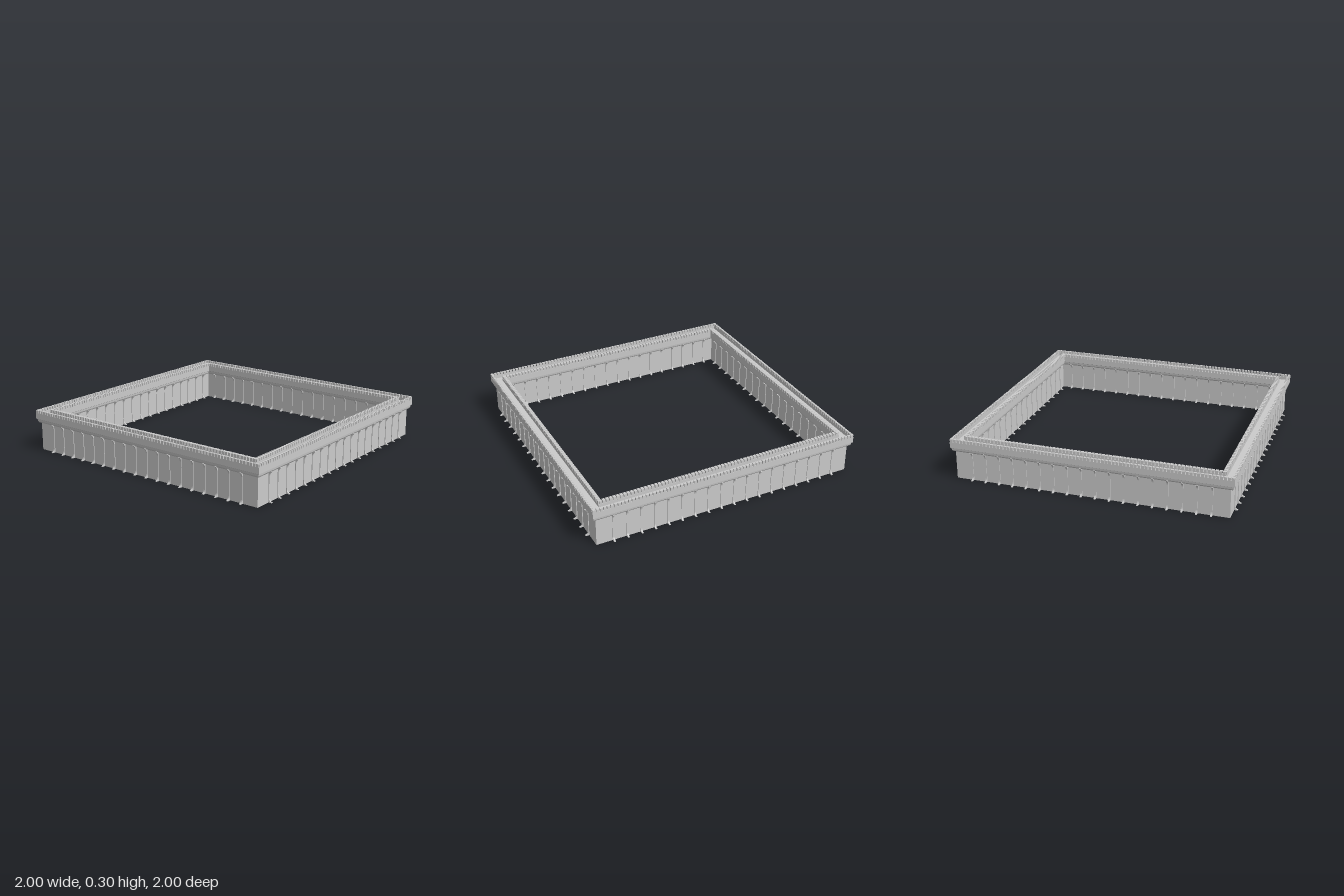
import * as THREE from 'three';
import { mergeGeometries } from 'three/addons/utils/BufferGeometryUtils.js';

const MID = 0.951; // centre line of the wall, measured from the middle of the square

// Sweep a closed profile of [distance, height] points around the square.
function squareRing(profile) {
  const pts = [...profile, profile[0]].map(([r, y]) => new THREE.Vector2(r * Math.SQRT2, y));
  const geo = new THREE.LatheGeometry(pts, 4, Math.PI / 4).toNonIndexed();
  geo.computeVertexNormals();
  return geo;
}

// Copy a piece of the front wall to all four walls.
function fourSides(pieces) {
  const all = [];
  for (let side = 0; side < 4; side++) {
    for (const p of pieces) all.push(p.clone().rotateY(side * Math.PI / 2));
  }
  return mergeGeometries(all);
}

// A row of merlons centred on distance z, reaching half a length along x.
function merlonRow(z, depth, half) {
  const pitch = 0.025, count = Math.floor((2 * half) / pitch);
  const row = [];
  for (let i = 0; i < count; i++) {
    const x = (i - (count - 1) / 2) * pitch;
    row.push(new THREE.BoxGeometry(0.019, 0.024, depth).translate(x, 0.288, z));
  }
  return row;
}

// Thin rib crossing the wall, with curved feet and brackets on both faces.
function ribGeometry() {
  const s = new THREE.Shape();
  s.moveTo(-0.047, 0);
  s.lineTo(0.047, 0);
  s.lineTo(0.047, 0.004);
  s.quadraticCurveTo(0.027, 0.006, 0.026, 0.026);
  s.lineTo(0.026, 0.18);
  s.quadraticCurveTo(0.028, 0.2, 0.045, 0.212);
  s.lineTo(-0.045, 0.212);
  s.quadraticCurveTo(-0.028, 0.2, -0.026, 0.18);
  s.lineTo(-0.026, 0.026);
  s.quadraticCurveTo(-0.027, 0.006, -0.047, 0.004);
  const t = 0.012;
  const geo = new THREE.ExtrudeGeometry(s, { depth: t, bevelEnabled: false, curveSegments: 4 });
  return geo.translate(0, 0, -t / 2).rotateY(Math.PI / 2);
}

export function createModel() {
  const group = new THREE.Group();
  const material = new THREE.MeshStandardMaterial({ color: 0xcccccc });
  const add = (name, geo) => {
    const mesh = new THREE.Mesh(geo, material);
    mesh.name = name;
    group.add(mesh);
  };

  // Upright wall
  add('wallBody', squareRing([
    [MID - 0.021, 0], [MID + 0.021, 0], [MID + 0.021, 0.215], [MID - 0.021, 0.215],
  ]));

  // Overhanging top: rounded underside, two parapets and a sunken walkway
  add('walkway', squareRing([
    [0.928, 0.203], [0.974, 0.203], [0.984, 0.207], [0.991, 0.217], [0.993, 0.232],
    [1, 0.236], [1, 0.279], [0.984, 0.279], [0.984, 0.258],
    [0.928, 0.258], [0.928, 0.279], [0.903, 0.279], [0.903, 0.236],
    [0.91, 0.232], [0.912, 0.217], [0.918, 0.207],
  ]));

  // Ribs, one in the middle of each wall section
  const ribs = [];
  for (let i = 0; i < 18; i++) ribs.push(ribGeometry().translate(-0.85 + i * 0.1, 0, MID));
  add('ribs', fourSides(ribs));

  // Merlons along both parapets
  add('outerMerlons', fourSides(merlonRow(0.992, 0.016, 1)));
  add('innerMerlons', fourSides(merlonRow(0.9155, 0.025, 0.925)));

  return group;
}
